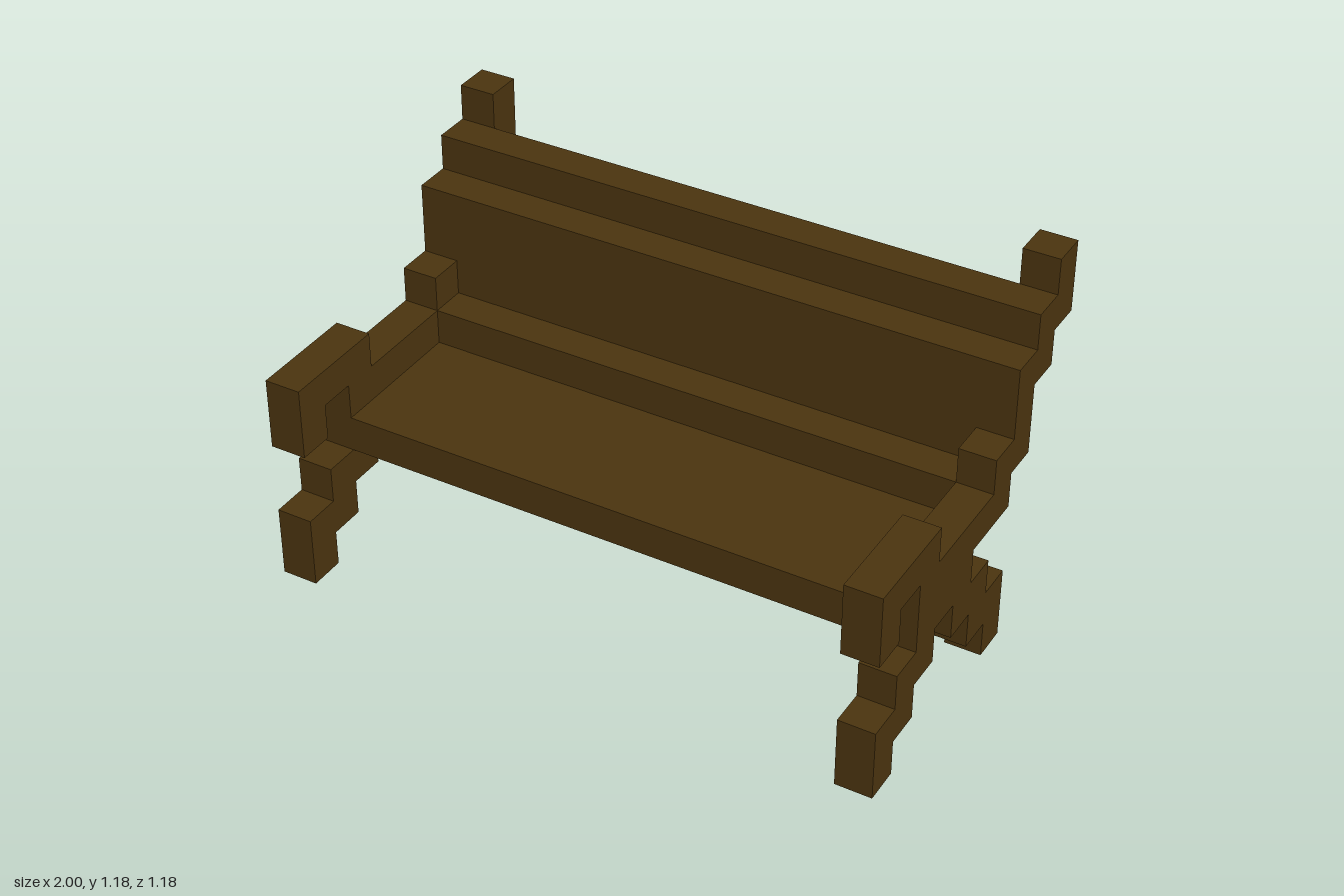
import * as THREE from 'three';

const U = 2 / 17; // one block of the grid

// Stepped outline of a side frame as [z, y] in blocks
const OUTLINE = [
  // front leg, gap below the seat, back leg
  [5, 0], [4, 0], [4, 1], [3, 1], [3, 2], [2, 2], [2, 3], [1, 3], [1, 2], [0, 2],
  [0, 1], [-1, 1], [-1, 0], [-2, 0], [-2, 2], [-1, 2], [-1, 3], [0, 3], [0, 4],
  // back post, up the rear and down the front
  [-2, 4], [-2, 5], [-3, 5], [-3, 7], [-4, 7], [-4, 8], [-5, 8], [-5, 10],
  [-4, 10], [-4, 9], [-3, 9], [-3, 8], [-2, 8], [-2, 6], [-1, 6], [-1, 5],
  // armrest with its drooping tip, then back to the front leg
  [2, 5], [2, 6], [5, 6], [5, 4], [4, 4], [4, 5], [3, 5], [3, 3], [4, 3], [4, 2], [5, 2],
];

export function createModel() {
  const model = new THREE.Group();
  model.name = 'bench';
  const wood = new THREE.MeshStandardMaterial({ color: 0x4b340f });
  wood.name = 'dark wood';

  // Two side frames, one block thick
  const shape = new THREE.Shape(OUTLINE.map(([z, y]) => new THREE.Vector2(z * U, y * U)));
  const frame = new THREE.ExtrudeGeometry(shape, { depth: U, bevelEnabled: false });
  frame.translate(0, 0, -U / 2);
  frame.rotateY(-Math.PI / 2);
  for (const side of [1, -1]) {
    const mesh = new THREE.Mesh(frame, wood);
    mesh.name = side > 0 ? 'leftFrame' : 'rightFrame';
    mesh.position.x = side * 8 * U;
    model.add(mesh);
  }

  // Boards spanning between the frames: z and y ranges in blocks
  const addBoard = (name, z0, z1, y0, y1) => {
    const mesh = new THREE.Mesh(new THREE.BoxGeometry(15 * U, (y1 - y0) * U, (z1 - z0) * U), wood);
    mesh.name = name;
    mesh.position.set(0, (y0 + y1) / 2 * U, (z0 + z1) / 2 * U);
    model.add(mesh);
  };
  addBoard('seat', -1, 3, 3, 4);
  addBoard('lowerBackBoard', -2, -1, 4, 5);
  addBoard('mainBackBoard', -3, -2, 5, 8);
  addBoard('topBackBoard', -4, -3, 8, 9);

  return model;
}
